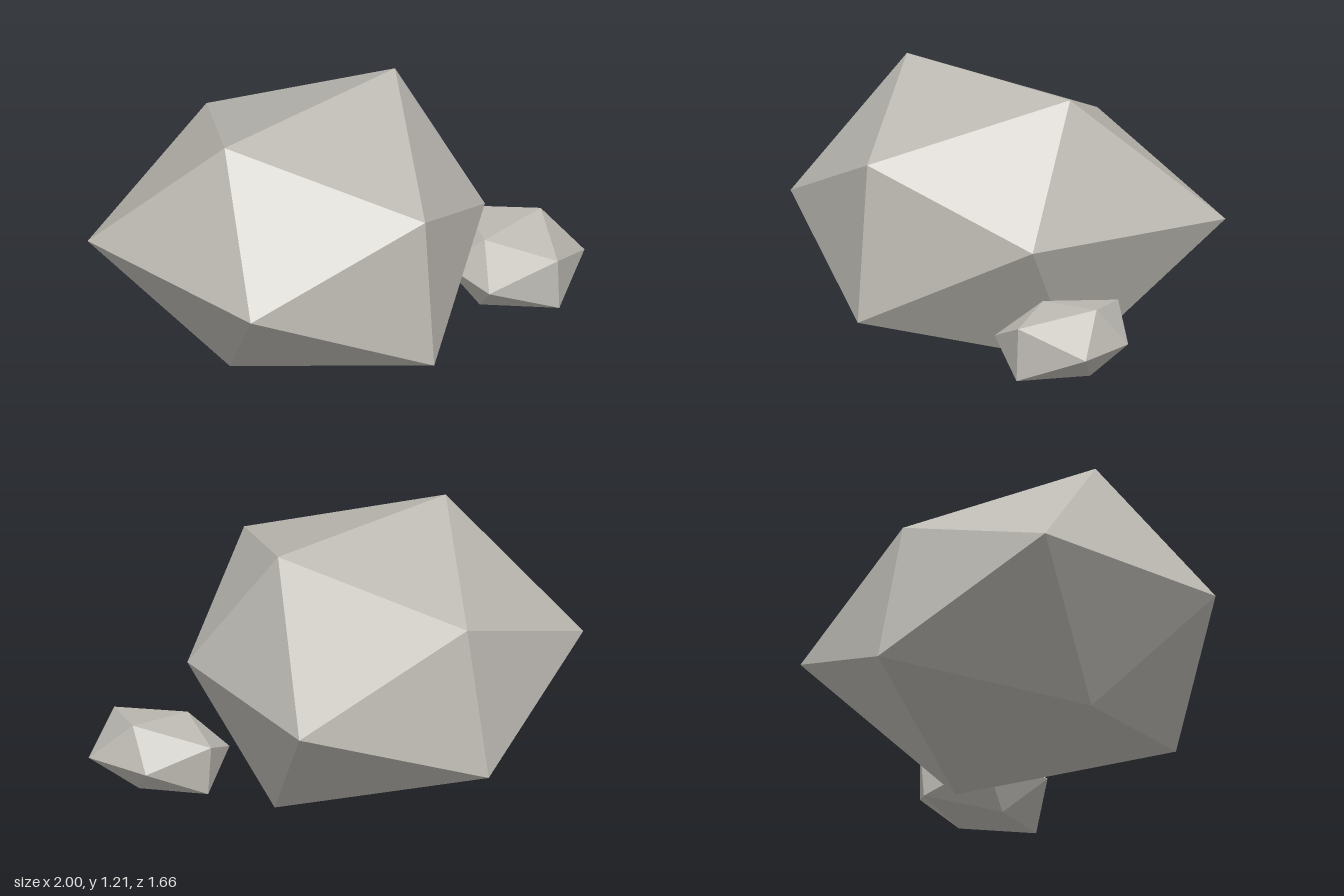
import * as THREE from 'three';

// Faceted stone: an icosahedron whose twelve corners are moved to new places.
// Corners are keyed by the signs of their x, y and z on the regular solid.
function makeStone(name, corners, material) {
  const geometry = new THREE.IcosahedronGeometry(1, 0);
  const pos = geometry.attributes.position;
  const sign = (v) => (Math.abs(v) < 0.01 ? '0' : v > 0 ? '+' : '-');
  for (let i = 0; i < pos.count; i++) {
    const key = sign(pos.getX(i)) + sign(pos.getY(i)) + sign(pos.getZ(i));
    pos.setXYZ(i, ...corners[key]);
  }
  geometry.computeVertexNormals();
  const mesh = new THREE.Mesh(geometry, material);
  mesh.name = name;
  return mesh;
}

export function createModel() {
  const group = new THREE.Group();
  group.name = 'rocks';
  const stone = new THREE.MeshStandardMaterial({ color: 0xbebbb4, flatShading: true });
  stone.name = 'pale grey stone';

  // Large boulder
  group.add(makeStone('boulder', {
    '-+0': [-0.66, 1.213, 0], '++0': [0.36, 1.21, 0], // top ridge
    '--0': [-0.63, 0.06, 0], '+-0': [0.38, 0, 0], // bottom ridge
    '0++': [-0.15, 0.965, 0.77], '0-+': [-0.15, 0.245, 0.83], // front
    '0+-': [-0.15, 0.92, -0.69], '0--': [-0.15, 0.25, -0.83], // back
    '+0+': [0.53, 0.62, 0.41], '+0-': [0.765, 0.62, -0.575], // left side
    '-0+': [-0.925, 0.62, 0.47], '-0-': [-1, 0.62, -0.535], // right side
  }, stone));

  // Small stone leaning against it
  group.add(makeStone('smallStone', {
    '-+0': [0.56, 0.4, 0.375], '++0': [0.895, 0.43, 0.375],
    '--0': [0.53, 0.075, 0.375], '+-0': [0.855, 0.115, 0.375],
    '0++': [0.715, 0.37, 0.69], '0-+': [0.715, 0.13, 0.7],
    '0+-': [0.715, 0.37, 0.055], '0--': [0.715, 0.14, 0.075],
    '+0+': [1, 0.25, 0.55], '+0-': [0.95, 0.25, 0.23],
    '-0+': [0.43, 0.25, 0.55], '-0-': [0.45, 0.25, 0.22],
  }, stone));

  return group;
}
